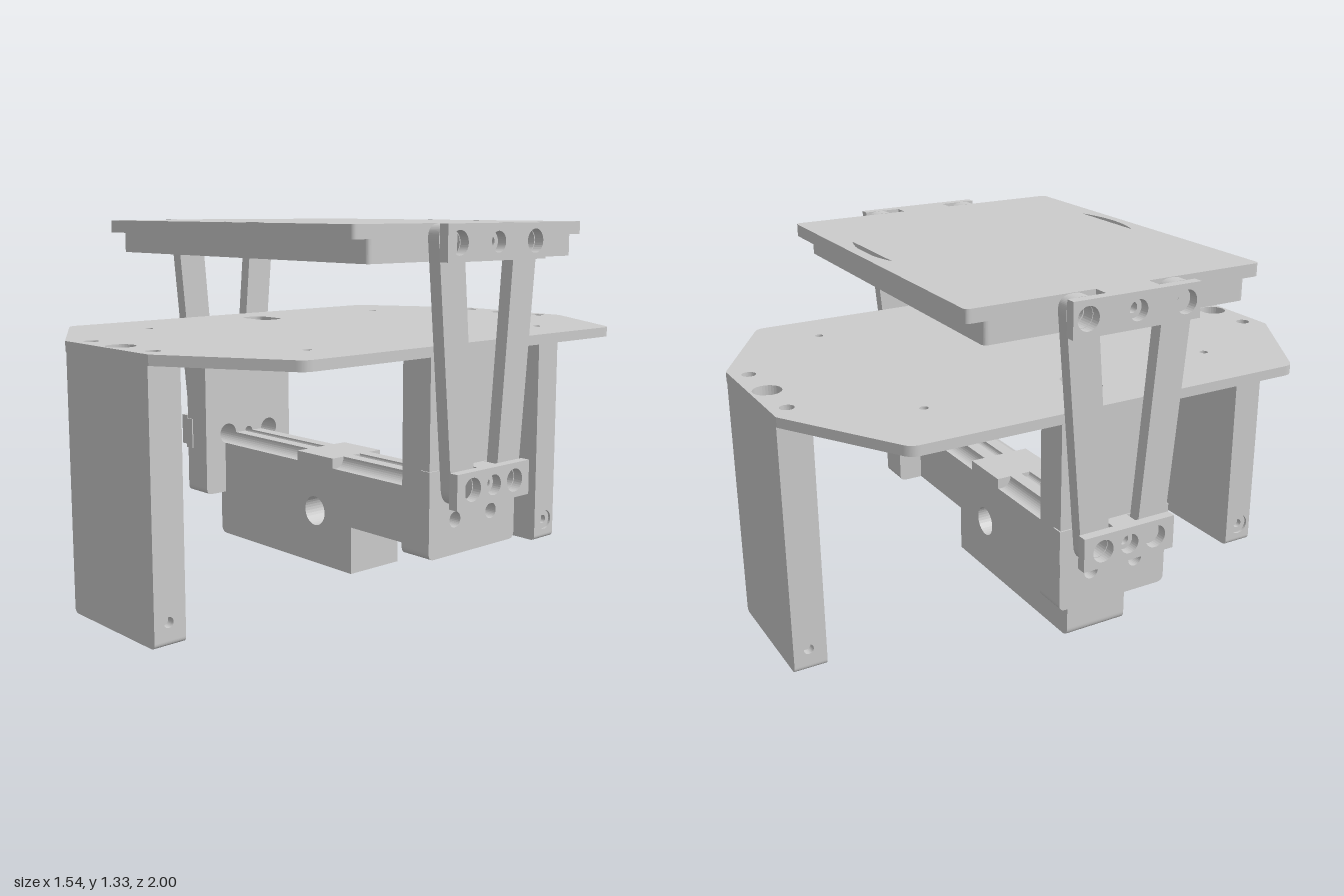
import * as THREE from 'three';

const mat = new THREE.MeshStandardMaterial({ color: 0xcccccc });

// Closed shape from [u, v, cornerRadius] points, with round holes [u, v, radius]
function poly(pts, holes = []) {
  const shape = new THREE.Shape();
  const n = pts.length;
  pts.forEach(([x, y, r = 0], i) => {
    const p = new THREE.Vector2(x, y);
    const toward = (q) => new THREE.Vector2(q[0], q[1]).sub(p).setLength(r).add(p);
    const a = r ? toward(pts[(i + n - 1) % n]) : p;
    if (i) shape.lineTo(a.x, a.y); else shape.moveTo(a.x, a.y);
    if (r) {
      const b = toward(pts[(i + 1) % n]);
      shape.quadraticCurveTo(x, y, b.x, b.y);
    }
  });
  shape.closePath();
  for (const [x, y, r] of holes) {
    shape.holes.push(new THREE.Path().absarc(x, y, r, 0, Math.PI * 2, true));
  }
  return shape;
}

const rect = (u0, u1, v0, v1, holes, rLow = 0, rHigh = 0) =>
  poly([[u0, v0, rLow], [u1, v0, rLow], [u1, v1, rHigh], [u0, v1, rHigh]], holes);

// Extrude a shape along an axis between a and b.
// axis x: shape is (-z, y); axis y: shape is (x, z); axis z: shape is (x, y)
function slab(parent, name, axis, shape, a, b) {
  const lo = Math.min(a, b), hi = Math.max(a, b);
  const geo = new THREE.ExtrudeGeometry(shape, { depth: hi - lo, bevelEnabled: false, curveSegments: 16 });
  if (axis === 'x') geo.rotateY(Math.PI / 2).translate(lo, 0, 0);
  else if (axis === 'y') geo.rotateX(Math.PI / 2).translate(0, hi, 0);
  else geo.translate(0, 0, lo);
  const mesh = new THREE.Mesh(geo, mat);
  mesh.name = name;
  parent.add(mesh);
  return mesh;
}

function group(parent, name) {
  const g = new THREE.Group();
  g.name = name;
  parent.add(g);
  return g;
}

// Eight-sided deck with bolt holes and a cable slot
function addDeck(root) {
  const holes = [];
  for (const s of [-1, 1]) {
    holes.push([0, s * 0.94, 0.05], [-0.185, s * 0.94, 0.025], [0.185, s * 0.94, 0.025]);
    holes.push([-0.41, s * 0.565, 0.015], [0.48, s * 0.565, 0.015]);
  }
  const deck = poly([
    [-0.68, -0.74, 0.03], [-0.25, -1], [0.25, -1], [0.68, -0.74, 0.03],
    [0.68, 0.74, 0.03], [0.25, 1], [-0.25, 1], [-0.68, 0.74, 0.03],
  ], holes);
  deck.holes.push(rect(-0.54, -0.38, -0.05, 0.05, [], 0.04, 0.04));
  slab(root, 'deck', 'y', deck, 0.905, 0.94);
}

// Broad leg: core with rounded foot, and drilled side faces
function addLeg(root, f) {
  const leg = group(root, f > 0 ? 'frontLeg' : 'backLeg');
  const core = poly([
    [-0.245, 0, 0.02], [0.245, 0, 0.02], [0.245, 0.035], [0.215, 0.035],
    [0.215, 0.905], [-0.215, 0.905], [-0.215, 0.035], [-0.245, 0.035],
  ]);
  slab(leg, 'legCore', 'z', core, f * 0.88, f);
  const side = (r) => rect(-0.06 - f * 0.94, 0.06 - f * 0.94, 0.035, 0.905, [[-f * 0.945, 0.08, r]]);
  for (const s of [-1, 1]) {
    slab(leg, 'legSide', 'x', side(0.018), s * 0.215, s * 0.235);
    slab(leg, 'legSideFace', 'x', side(s * f > 0 ? 0.018 : 0.04), s * 0.235, s * 0.245);
  }
}

// Cross beam with lengthwise bores, a cross hole and an offset lower block
function addBeam(root) {
  const beam = group(root, 'crossBeam');
  const arc = (c, r, from, to) => Array.from({ length: 11 }, (_, i) => {
    const a = from + (to - from) * i / 10;
    return [c + r * Math.cos(a), 0.47 + r * Math.sin(a)];
  });
  const corner = Math.acos(0.015 / 0.04);
  const section = poly([
    [-0.12, 0.23], [0.12, 0.23],
    ...arc(0.105, 0.04, -corner, -Math.PI),
    ...arc(0, 0.018, 0, -Math.PI),
    ...arc(-0.105, 0.04, 0, -Math.PI + corner),
  ], [[-0.09, 0.35, 0.027], [0.09, 0.35, 0.027]]);
  for (const s of [-1, 1]) slab(beam, 'beamArm', 'x', section, s * 0.1, s * 0.56);
  slab(beam, 'beamCentre', 'z', rect(-0.1, 0.1, 0.055, 0.47, [[0, 0.255, 0.055]]), -0.12, 0.12);
  slab(beam, 'blockLong', 'z', poly([[-0.585, 0.055, 0.03], [-0.1, 0.055], [-0.1, 0.23], [-0.585, 0.23]]), -0.12, 0.12);
  slab(beam, 'blockShort', 'z', rect(0.1, 0.2, 0.055, 0.23), -0.12, 0.12);
}

// Pillar, lower bracket, pair of splayed arms and upper bracket on one side
function addSide(root, s) {
  const side = group(root, s > 0 ? 'leftLinkage' : 'rightLinkage');
  const lowPins = [[-0.105, 0.47, 0.04], [0.105, 0.47, 0.04]];
  const highPins = [[-0.185, 1.27, 0.04], [0.185, 1.27, 0.04]];
  const bores = [...lowPins, [0, 0.47, 0.018], [-0.09, 0.35, 0.027], [0.09, 0.35, 0.027]];
  slab(side, 'pillar', 'x', rect(-0.215, 0.215, 0.23, 0.905, bores, 0.025), s * 0.555, s * 0.68);

  // Lower bracket
  slab(side, 'lowerBracketInner', 'x', rect(-0.22, 0.22, 0.41, 0.53, [...lowPins, [0, 0.47, 0.018]]), s * 0.645, s * 0.685);
  slab(side, 'lowerBracketCentre', 'x', rect(-0.045, 0.045, 0.41, 0.53, [[0, 0.47, 0.018]]), s * 0.685, s * 0.735);
  slab(side, 'lowerBracketOuter', 'x', rect(-0.18, 0.18, 0.41, 0.53, [...lowPins, [0, 0.47, 0.035]]), s * 0.735, s * 0.77);

  // Upper bracket
  slab(side, 'upperBracketCentre', 'x', rect(-0.1, 0.1, 1.21, 1.33, [[0, 1.27, 0.018]]), s * 0.68, s * 0.735);
  slab(side, 'upperBracketOuter', 'x', rect(-0.24, 0.24, 1.21, 1.33, [...highPins, [0, 1.27, 0.035]]), s * 0.735, s * 0.77);

  // Arms with rounded ends
  for (const m of [-1, 1]) {
    const arm = poly([
      [m * 0.05, 0.41, 0.055], [m * 0.162, 0.41, 0.055],
      [m * 0.245, 1.33, 0.055], [m * 0.128, 1.33, 0.055],
    ], [[m * 0.105, 0.47, 0.04], [m * 0.185, 1.27, 0.04]]);
    slab(side, 'arm', 'x', arm, s * 0.685, s * 0.732);
  }

  // Tray side wall, drilled for the pins
  slab(side, 'traySideWall', 'x', rect(-0.445, 0.445, 1.21, 1.315, [...highPins, [0, 1.27, 0.018]]), s * 0.63, s * 0.68);
}

// Top tray: lid with crescent grips, overhanging lips and end walls
function addTray(root) {
  const tray = group(root, 'tray');
  const lid = rect(-0.68, 0.68, -0.555, 0.555, [], 0.02, 0.02);
  for (const f of [-1, 1]) {
    const grip = new THREE.Path();
    grip.moveTo(-0.045, f * 0.49);
    grip.quadraticCurveTo(0.12, f * 0.55, 0.29, f * 0.49);
    grip.closePath();
    lid.holes.push(grip);
    const lip = poly([
      [-0.68, f * 0.445], [0.68, f * 0.445], [0.68, f * 0.555, 0.02], [-0.68, f * 0.555, 0.02],
    ]);
    slab(tray, 'trayLip', 'y', lip, 1.285, 1.315);
    const wall = poly([
      [-0.68, f * 0.445], [0.68, f * 0.445], [0.68, f * 0.495, 0.02], [-0.68, f * 0.495, 0.02],
    ]);
    slab(tray, 'trayEndWall', 'y', wall, 1.21, 1.285);
  }
  slab(tray, 'trayLid', 'y', lid, 1.315, 1.33);
}

export function createModel() {
  const root = new THREE.Group();
  root.name = 'liftingPlatform';
  addDeck(root);
  addBeam(root);
  addTray(root);
  for (const s of [-1, 1]) {
    addLeg(root, s);
    addSide(root, s);
  }
  return root;
}
